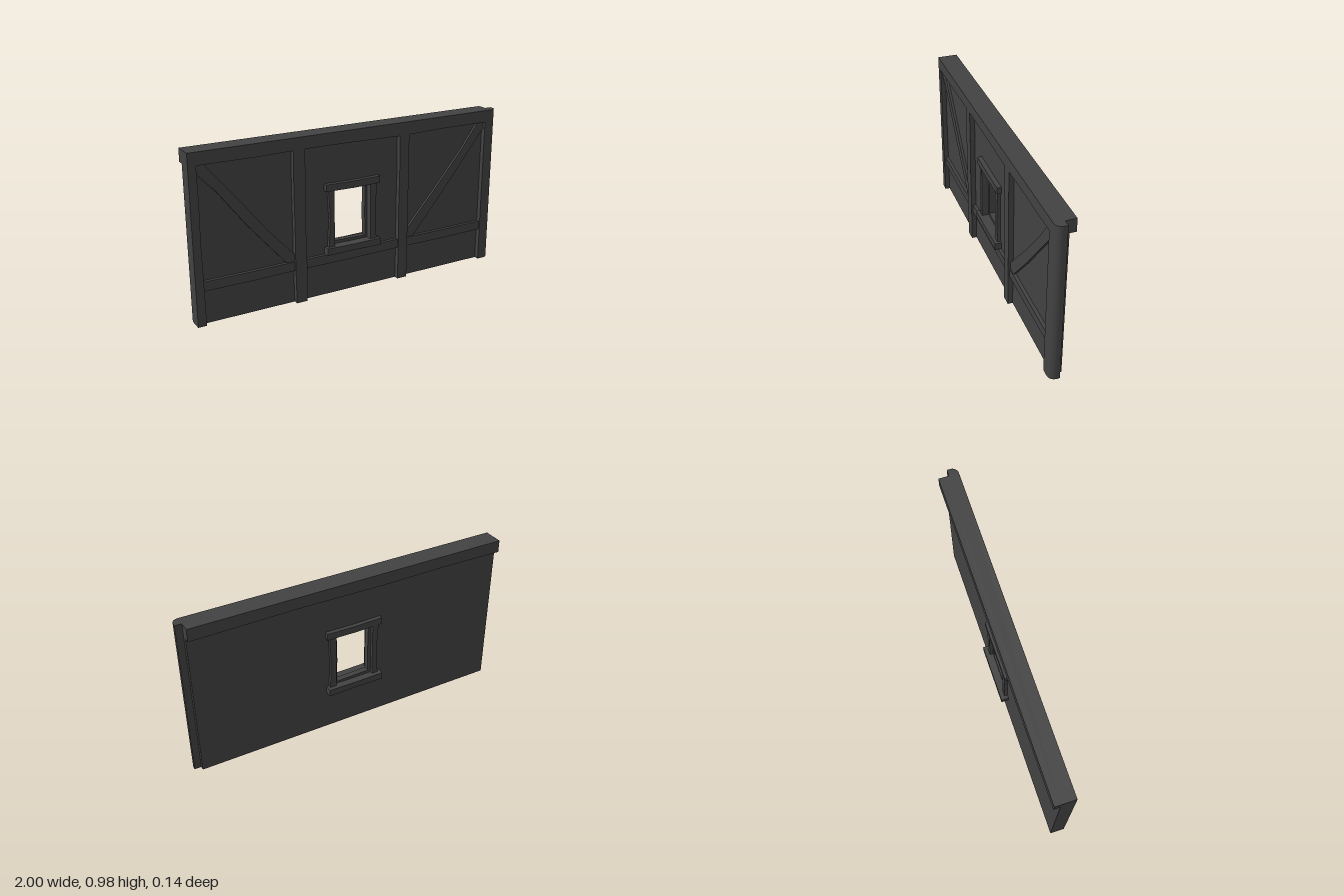
import * as THREE from 'three';

const material = new THREE.MeshStandardMaterial({ color: 0x424242, flatShading: true });

const toPoints = (points) => points.map(([x, y]) => new THREE.Vector2(x, y));

// Closed front outline pushed from z0 (back) to z1 (front), with optional hole
function slab(name, points, z0, z1, hole) {
  const shape = new THREE.Shape(toPoints(points));
  if (hole) shape.holes.push(new THREE.Path(toPoints(hole)));
  const geometry = new THREE.ExtrudeGeometry(shape, { depth: z1 - z0, bevelEnabled: false });
  geometry.translate(0, 0, z0);
  const mesh = new THREE.Mesh(geometry, material);
  mesh.name = name;
  return mesh;
}

const rect = (x0, x1, y0, y1) => [[x0, y0], [x1, y0], [x1, y1], [x0, y1]];

// Hand-hewn upright: the edges wander a little along the height
function upright(x0, x1, y0, y1, waveL, waveR) {
  const at = (t) => y0 + (y1 - y0) * t;
  const steps = [0, 0.25, 0.5, 0.75, 1];
  const right = steps.map((t, i) => [x1 + waveR[i], at(t)]);
  const left = steps.map((t, i) => [x0 + waveL[i], at(t)]).reverse();
  return [...right, ...left];
}

export function createModel() {
  const group = new THREE.Group();
  const add = (...args) => group.add(slab(...args));
  const flat = [0, 0, 0, 0, 0];
  const top = 0.982;

  // Plaster panel with the window opening
  add('wallPanel', rect(-1, 0.96, 0, 0.95), -0.025, 0.03, rect(-0.145, 0.1, 0.29, 0.65));

  // Top beam: front face and deeper back part with uneven lower edges
  add('topBeamFront', [[-1, 0.905], [-0.95, 0.909], [-0.6, 0.907], [-0.35, 0.912], [0, 0.909],
    [0.3, 0.903], [0.6, 0.91], [0.96, 0.908], [0.96, top], [-1, top]], -0.025, 0.06);
  add('topBeamBack', [[-1, 0.907], [-0.6, 0.911], [-0.2, 0.906], [0.3, 0.913], [0.96, 0.905],
    [0.96, top], [-1, top]], -0.062, -0.025);

  // Square end post and the two middle posts
  add('endPost', upright(-1, -0.953, 0, 0.95, flat, [0.003, 0.001, -0.002, 0.001, -0.002]), -0.025, 0.06);
  add('middlePost', upright(-0.402, -0.332, 0, 0.912,
    [0.002, -0.001, 0, -0.002, 0], [0, 0.002, -0.002, 0.002, 0]), 0.02, 0.06);
  add('middlePost', upright(0.29, 0.355, 0, 0.91,
    [0, 0.002, -0.001, 0.002, -0.002], [0, 0, 0.002, -0.001, 0]), 0.02, 0.06);

  // Corner post with a rounded outer front edge
  const plan = new THREE.Shape();
  plan.moveTo(0.915, 0);
  plan.lineTo(1, 0);
  plan.lineTo(1, -0.02);
  plan.absarc(0.96, -0.02, 0.04, 0, -Math.PI / 2, true);
  plan.lineTo(0.915, -0.06);
  const postGeometry = new THREE.ExtrudeGeometry(plan, { depth: top, bevelEnabled: false, curveSegments: 6 });
  postGeometry.rotateX(-Math.PI / 2);
  const cornerPost = new THREE.Mesh(postGeometry, material);
  cornerPost.name = 'cornerPost';
  group.add(cornerPost);

  // Horizontal rails between the posts
  for (const [x0, x1] of [[-0.96, -0.395], [-0.34, 0.295], [0.35, 0.92]]) {
    const mid = (x0 + x1) / 2;
    add('rail', [[x0, 0.201], [mid, 0.199], [x1, 0.202], [x1, 0.257], [mid, 0.255], [x0, 0.256]], 0.02, 0.05);
  }

  // Diagonal braces
  add('brace', [[-0.955, 0.91], [-0.955, 0.86], [-0.85, 0.75], [-0.68, 0.525], [-0.45, 0.255],
    [-0.4, 0.255], [-0.4, 0.3], [-0.56, 0.475], [-0.72, 0.68], [-0.91, 0.91]], 0.02, 0.045);
  add('brace', [[0.913, 0.91], [0.87, 0.91], [0.75, 0.75], [0.57, 0.54], [0.353, 0.3],
    [0.353, 0.255], [0.405, 0.255], [0.6, 0.48], [0.77, 0.69], [0.913, 0.865]], 0.02, 0.045);

  // Window surround
  add('windowLintel', [[-0.2, 0.642], [-0.02, 0.638], [0.157, 0.641], [0.157, 0.682], [-0.02, 0.679], [-0.2, 0.683]],
    -0.051, 0.058);
  add('windowSill', [[-0.2, 0.257], [-0.02, 0.259], [0.157, 0.255], [0.157, 0.298], [-0.02, 0.296], [-0.2, 0.3]],
    -0.07, 0.07);
  add('windowJamb', upright(-0.178, -0.143, 0.29, 0.645, [-0.004, 0.002, 0.006, 0.002, -0.004], flat), -0.045, 0.05);
  add('windowJamb', upright(0.098, 0.137, 0.29, 0.645, flat, [0.004, -0.002, -0.004, -0.001, 0.004]), -0.045, 0.05);

  // Recessed inner frame
  add('windowInnerFrame', rect(-0.15, 0.105, 0.28, 0.66), -0.025, 0.01,
    [[-0.125, 0.317], [-0.02, 0.314], [0.085, 0.311], [0.082, 0.47], [0.085, 0.632], [-0.02, 0.634],
      [-0.125, 0.631], [-0.122, 0.47]]);

  return group;
}
